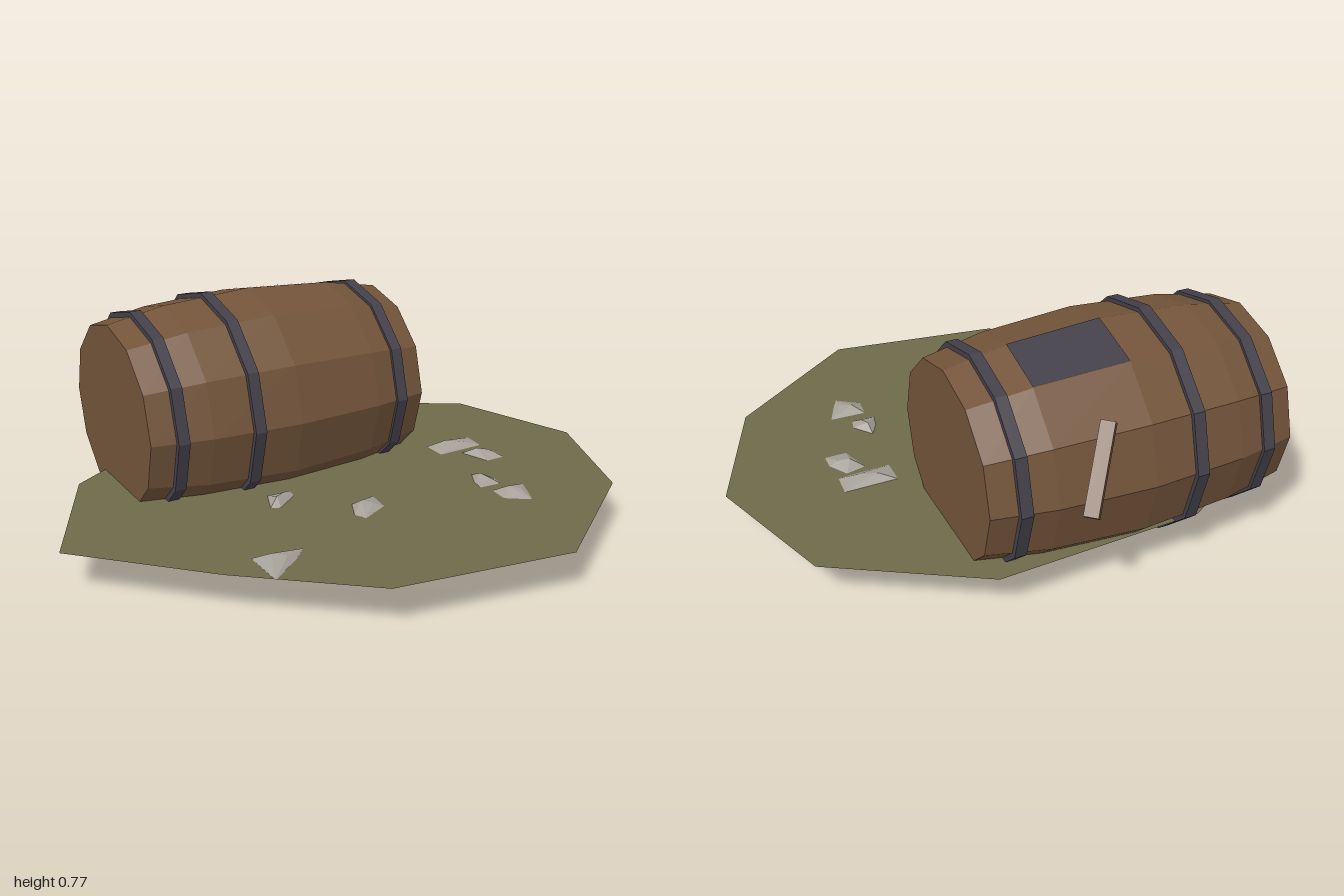
import * as THREE from 'three';
import { ConvexGeometry } from 'three/addons/geometries/ConvexGeometry.js';

const material = (name, color, side = THREE.FrontSide) => {
  const m = new THREE.MeshStandardMaterial({ color, side, flatShading: true });
  m.name = name;
  return m;
};

export function createModel() {
  const model = new THREE.Group();
  model.name = 'barrelOnGround';
  const wood = material('brownWood', 0x73543a);
  const iron = material('darkIron', 0x44404a);
  const stone = material('greyStone', 0xa5a199);
  const moss = material('mossGreen', 0x6d6b4a, THREE.DoubleSide);

  const add = (parent, name, geometry, mat) => {
    const mesh = new THREE.Mesh(geometry, mat);
    mesh.name = name;
    parent.add(mesh);
    return mesh;
  };

  // Twelve-sided barrel lying along x, slightly flattened in height
  const barrel = new THREE.Group();
  barrel.name = 'barrel';
  barrel.position.set(-0.125, 0.388, -0.357);
  barrel.scale.y = 0.955;
  model.add(barrel);

  const lathe = (profile) => new THREE.LatheGeometry(
    profile.map(([r, x]) => new THREE.Vector2(r, x)), 12).rotateZ(-Math.PI / 2);

  add(barrel, 'barrelBody', lathe([
    [0, -0.52], [0.335, -0.52], [0.375, -0.315], [0.396, 0],
    [0.375, 0.315], [0.335, 0.52], [0, 0.52],
  ]), wood);

  // Iron hoops: [centre along the barrel, outer radius]
  for (const [x, r] of [[-0.418, 0.37], [-0.158, 0.402], [0.416, 0.37]]) {
    const w = 0.02;
    add(barrel, 'hoop', lathe([
      [r - 0.04, x - w], [r, x - w], [r, x + w], [r - 0.04, x + w],
    ]), iron);
  }

  // Dark patch covering one stave panel on top
  const corner = (x, r, a) => [x, r * Math.cos(a) + 0.003, -r * Math.sin(a)];
  const patch = new THREE.BufferGeometry();
  patch.setAttribute('position', new THREE.Float32BufferAttribute([
    ...corner(0, 0.396, 0), ...corner(0.315, 0.375, 0),
    ...corner(0.315, 0.375, Math.PI / 6), ...corner(0, 0.396, Math.PI / 6),
  ], 3));
  patch.setIndex([0, 1, 2, 0, 2, 3]);
  patch.computeVertexNormals();
  add(barrel, 'topPatch', patch, iron);

  // Loose stick slanting down behind the barrel
  const from = new THREE.Vector3(0.033, 0.642, -0.717);
  const to = new THREE.Vector3(0.155, 0.432, -0.855);
  const stick = add(model, 'stick',
    new THREE.BoxGeometry(0.045, 0.03, from.distanceTo(to)), wood);
  stick.position.copy(from).lerp(to, 0.5);
  stick.lookAt(to);

  // Flat irregular ground patch
  const groundY = 0.15;
  const outline = [
    [1, 0.08], [0.84, -0.39], [0.36, -0.68], [-0.35, -0.65], [-0.77, -0.39],
    [-1, 0.08], [-0.63, 0.46], [-0.25, 0.78], [0.36, 0.87], [0.82, 0.53],
  ];
  const ground = add(model, 'ground', new THREE.ShapeGeometry(
    new THREE.Shape(outline.map(([x, z]) => new THREE.Vector2(x, -z)))
  ).rotateX(-Math.PI / 2), moss);
  ground.position.y = groundY;

  // Low stone shards: base outline in x, z, raised to an off-centre ridge
  const shards = [
    [[0.455, -0.065], [0.64, -0.065], [0.635, 0.02], [0.455, 0.025]],
    [[0.53, 0.05], [0.6, 0.035], [0.64, 0.1], [0.64, 0.155], [0.565, 0.155]],
    [[-0.295, 0.12], [-0.26, 0.03], [-0.175, 0.03], [-0.18, 0.07], [-0.265, 0.135]],
    [[-0.05, 0.23], [0.045, 0.21], [0.035, 0.295], [-0.065, 0.345], [-0.085, 0.305]],
    [[0.44, 0.23], [0.49, 0.295], [0.48, 0.34], [0.4, 0.335], [0.41, 0.285]],
    [[0.42, 0.375], [0.545, 0.38], [0.515, 0.45], [0.49, 0.5], [0.415, 0.445]],
    [[-0.515, 0.41], [-0.345, 0.43], [-0.395, 0.48], [-0.515, 0.57]],
  ];
  for (const base of shards) {
    const points = base.map(([x, z]) => new THREE.Vector3(x, groundY + 0.002, z));
    const centre = points.reduce((sum, p) => sum.add(p), new THREE.Vector3())
      .divideScalar(points.length);
    const ridge = [0, 2].map((i, k) => {
      const p = centre.clone().lerp(points[i], 0.35);
      p.y = groundY + 0.025 - 0.007 * k;
      return p;
    });
    add(model, 'stoneShard', new ConvexGeometry([...points, ...ridge]), stone);
  }
  return model;
}
